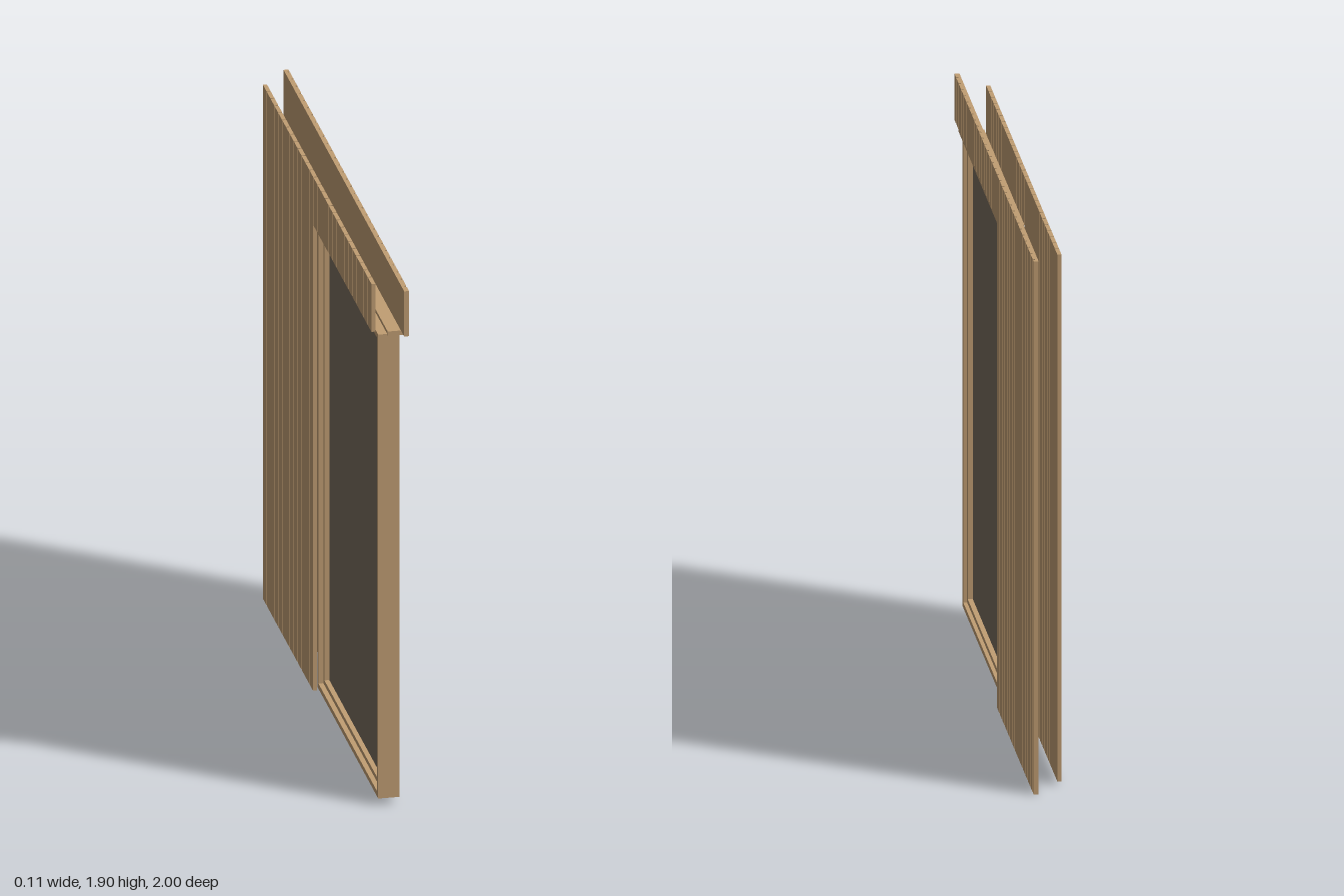
import * as THREE from 'three';

export function createModel() {
  const group = new THREE.Group();
  const wood = new THREE.MeshStandardMaterial({ color: 0xc19e73 });
  wood.name = 'wood';
  const glass = new THREE.MeshStandardMaterial({ color: 0x786c5d });
  glass.name = 'smoked glass';

  // Box given by its minimum and maximum corners
  function box(name, [x0, x1], [y0, y1], [z0, z1], material = wood, parent = group) {
    const mesh = new THREE.Mesh(new THREE.BoxGeometry(x1 - x0, y1 - y0, z1 - z0), material);
    mesh.position.set((x0 + x1) / 2, (y0 + y1) / 2, (z0 + z1) / 2);
    mesh.name = name;
    parent.add(mesh);
  }

  // Rectangular ring in the y-z plane, extruded along x
  function ring(name, [x0, x1], [y0, y1], [z0, z1], width) {
    const shape = new THREE.Shape([[z0, y0], [z1, y0], [z1, y1], [z0, y1]]
      .map(([z, y]) => new THREE.Vector2(-z, y)));
    const hole = new THREE.Path([[z0 + width, y0 + width], [z0 + width, y1 - width],
      [z1 - width, y1 - width], [z1 - width, y0 + width]].map(([z, y]) => new THREE.Vector2(-z, y)));
    shape.holes.push(hole);
    const geometry = new THREE.ExtrudeGeometry(shape, { depth: x1 - x0, bevelEnabled: false });
    geometry.rotateY(Math.PI / 2).translate(x0, 0, 0);
    const mesh = new THREE.Mesh(geometry, wood);
    mesh.name = name;
    group.add(mesh);
  }

  const pitch = 0.0645;
  const jamb = -0.08; // edge of the window opening

  // Row of upright boards; those over the window are cut short, one is notched
  function cladding(name, x, yLow, yHead, yTop, zStart, zEnd, firstWidth, gap) {
    const row = new THREE.Group();
    row.name = name;
    let top = zStart;
    let next = zStart - firstWidth;
    while (top > zEnd + 0.004) {
      const low = Math.max(next, zEnd);
      if (low >= jamb) {
        box('headerBoard', x, [yHead, yTop], [low, top], wood, row);
      } else if (top <= jamb) {
        box('longBoard', x, [yLow, yTop], [low, top], wood, row);
      } else {
        box('headerBoard', x, [yHead, yTop], [jamb, top], wood, row);
        box('longBoard', x, [yLow, yTop], [low, jamb], wood, row);
      }
      top = next - gap;
      next = top - (pitch - gap);
    }
    group.add(row);
  }

  // Outer wall face: flat backing with grooved boards
  box('outerBackingPanel', [0.036, 0.046], [0, 1.9], [-1, jamb]);
  box('outerBackingHeader', [0.036, 0.046], [1.735, 1.9], [jamb, 1]);
  cladding('outerCladding', [0.046, 0.053], 0, 1.735, 1.9, 1, -1, 0.038, 0.01);

  // Inner wall face: separate boards with open joints
  cladding('innerCladding', [-0.054, -0.04], 0.012, 1.715, 1.89, 0.89, -0.92, pitch - 0.006, 0.006);

  // Window: stepped frame, pane and head flashing
  ring('outerFrame', [-0.039, 0.035], [0.025, 1.72], [jamb, 0.93], 0.019);
  ring('innerFrame', [-0.022, 0.022], [0.043, 1.702], [-0.062, 0.912], 0.018);
  box('windowPane', [-0.005, 0.005], [0.055, 1.69], [-0.05, 0.9], glass);
  box('headFlashing', [-0.008, 0.048], [1.715, 1.732], [jamb, 0.938]);

  return group;
}
